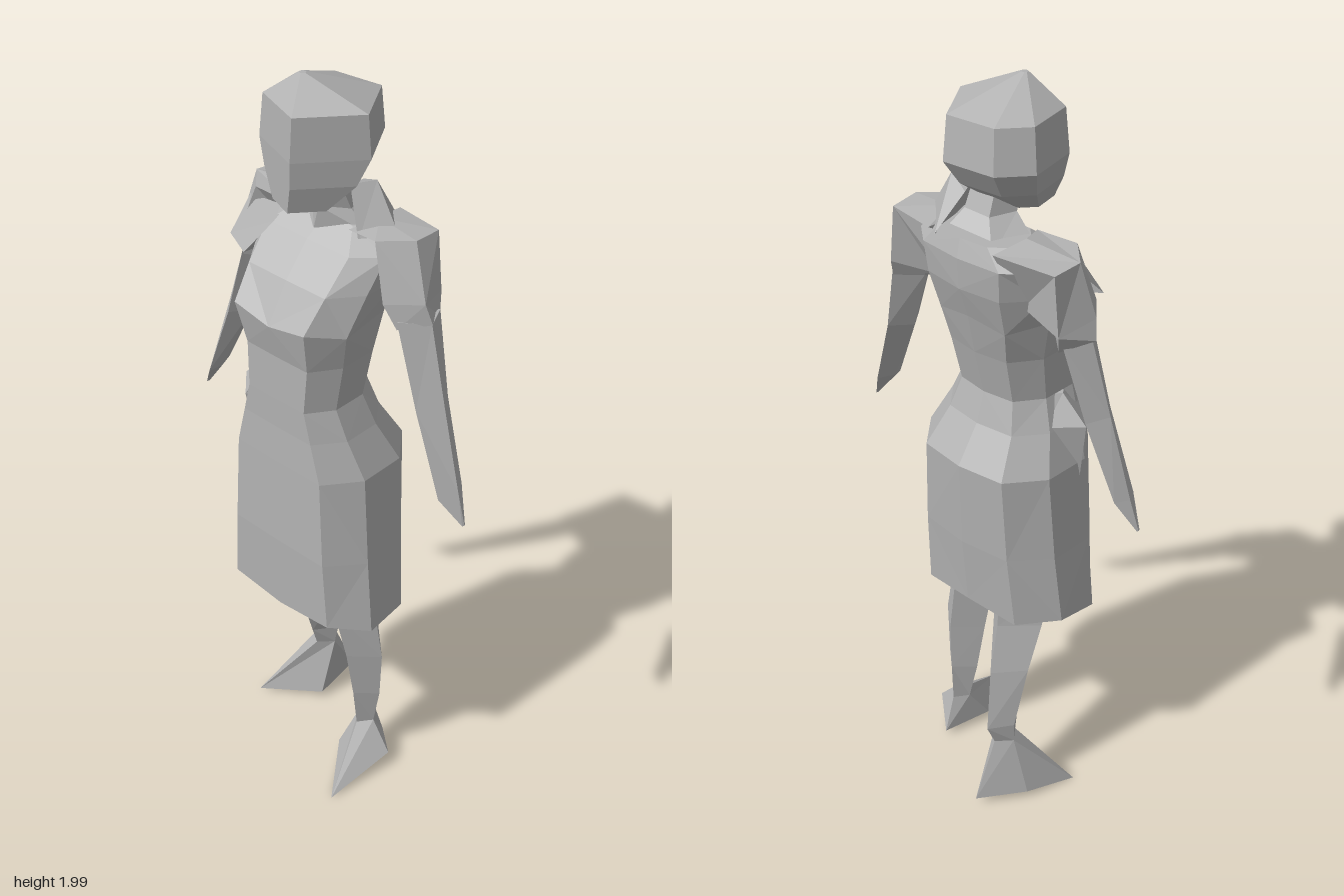
import * as THREE from 'three';

const clothGrey = new THREE.MeshStandardMaterial({ color: 0xb2b2b2, flatShading: true, side: THREE.DoubleSide });
clothGrey.name = 'plain grey';

// Skin a stack of equal-sized point rings, listed top to bottom
function loft(name, rings, capTop = true, capBottom = true) {
  const pos = [];
  const tri = (a, b, c) => pos.push(...a, ...b, ...c);
  const n = rings[0].length;
  for (let i = 0; i < rings.length - 1; i++) {
    for (let j = 0; j < n; j++) {
      const k = (j + 1) % n, a = rings[i][j], b = rings[i][k], c = rings[i + 1][j], d = rings[i + 1][k];
      if ((i + j) % 2) { tri(a, c, d); tri(a, d, b); }
      else { tri(a, c, b); tri(b, c, d); }
    }
  }
  const last = rings[rings.length - 1];
  for (let j = 1; j < n - 1; j++) {
    if (capTop) tri(rings[0][0], rings[0][j], rings[0][j + 1]);
    if (capBottom) tri(last[0], last[j + 1], last[j]);
  }
  const g = new THREE.BufferGeometry();
  g.setAttribute('position', new THREE.Float32BufferAttribute(pos, 3));
  g.computeVertexNormals();
  const mesh = new THREE.Mesh(g, clothGrey);
  mesh.name = name;
  return mesh;
}

// Ten-sided body section: right edge, left edge, front z, back z
const bodyOutline = [[0, 0.97], [0.68, 0.96], [1, 0.42], [0.98, -0.35], [0.62, -0.9],
  [0, -1], [-0.62, -0.9], [-0.98, -0.35], [-1, 0.42], [-0.68, 0.96]];
function bodyRing([y, xr, xl, zf, zb, dip = 0]) {
  const zm = (zf + zb) / 2, cx = (xr + xl) / 2, w = (xl - xr) / 2, d = (zf - zb) / 2;
  return bodyOutline.map(([u, v], i) => [cx + u * w, y + (i % 2 ? dip : 0), zm + v * d]);
}

// Six-sided head section, turned slightly and narrower along one diagonal
const headOutline = [[0.03, 0.135], [0.14, 0], [0.05, -0.14], [-0.085, -0.125], [-0.145, -0.055], [-0.12, 0.08]];
const headRing = ([y, s, cx, cz]) => headOutline.map(([x, z]) => [cx + x * s, y, cz + z * s]);

// Regular section: height, centre, radii and side count
function roundRing(y, cx, cz, rx, rz, n) {
  return Array.from({ length: n }, (_, i) => {
    const a = (i / n) * Math.PI * 2;
    return [cx + Math.sin(a) * rx, y, cz + Math.cos(a) * rz];
  });
}

// Four-sided limb section: front, left, back, right
const diamond = (y, x0, x1, z0, z1) => {
  const cx = (x0 + x1) / 2, cz = (z0 + z1) / 2;
  return [[cx, y, z1], [x1, y, cz], [cx, y, z0], [x0, y, cz]];
};

export function createModel() {
  const model = new THREE.Group();
  model.name = 'standingWoman';

  // Head: faceted, with a flat face and a back that rises from the neck
  model.add(loft('head', [
    [2.0, 0.06, -0.02, 0.07],
    [1.935, 0.95, 0, 0.025],
    [1.83, 1.02, -0.005, 0.02],
    [1.765, 0.85, -0.005, 0.04],
    [1.7, 0.5, -0.01, 0.08],
  ].map(headRing)));

  // Neck, spreading backwards into the shoulders
  model.add(loft('neck', [
    roundRing(1.74, 0.015, 0.02, 0.06, 0.06, 5),
    roundRing(1.69, 0.015, 0, 0.065, 0.06, 5),
    roundRing(1.63, 0, -0.03, 0.14, 0.09, 5),
  ]));
  model.add(loft('neckFold', [
    [[0.075, 1.75, 0.02], [0.11, 1.755, -0.03], [0.05, 1.73, -0.05]],
    [[0.12, 1.63, 0.04], [0.17, 1.655, -0.03], [0.08, 1.64, -0.12]],
  ]));

  // Bodice
  model.add(loft('bodice', [
    [1.655, -0.12, 0.13, 0.03, -0.115],
    [1.61, -0.19, 0.19, 0.085, -0.13],
    [1.53, -0.18, 0.18, 0.155, -0.125],
    [1.43, -0.168, 0.163, 0.212, -0.1, 0.02],
    [1.34, -0.145, 0.145, 0.19, -0.075],
    [1.22, -0.14, 0.13, 0.19, -0.05],
  ].map(bodyRing), true, false));

  // Skirt, open at the hem
  model.add(loft('skirt', [
    [1.22, -0.14, 0.13, 0.19, -0.05],
    [1.14, -0.17, 0.16, 0.19, -0.075],
    [1.04, -0.205, 0.205, 0.195, -0.135],
    [0.8, -0.222, 0.225, 0.2, -0.125],
    [0.59, -0.243, 0.242, 0.195, -0.108, 0.015],
  ].map(bodyRing), false, false));

  // Loose fold at the right hip
  model.add(loft('hipFold', [
    diamond(1.22, -0.15, -0.1, 0.04, 0.11),
    diamond(1.15, -0.222, -0.08, 0.01, 0.15),
    diamond(1.0, -0.207, -0.1, 0.04, 0.12),
  ]));

  // Ragged points of the lining under the hem
  for (const [x, z] of [[-0.18, 0.1], [0, 0.1], [0.19, 0.1], [0.13, -0.05]]) {
    model.add(loft('liningPoint', [
      roundRing(0.63, x, z, 0.04, 0.03, 3),
      roundRing(0.56, x, z, 0.004, 0.004, 3),
    ], false));
  }

  // Gathered flap between the right shoulder and the bust
  model.add(loft('shoulderFlap', [
    [[-0.1, 1.62, 0.09], [-0.12, 1.63, 0.03], [-0.24, 1.62, 0.03]],
    [[-0.15, 1.54, 0.14], [-0.17, 1.52, 0.05], [-0.255, 1.53, 0.085]],
  ]));

  // Arms: sections run front, outer, back, inner, given for the left side
  const mirror = (rings) => rings.map((r) => r.map(([x, y, z]) => [-x, y, z]).reverse());
  for (const side of ['left', 'right']) {
    const e = side === 'left' ? 0 : 0.03;
    const sleeve = [
      [[0.09, 1.65, 0.04], [0.12, 1.665, -0.03], [0.1, 1.65, -0.12], [0.1, 1.6, -0.04]],
      [[0.175 + e, 1.655, 0.045], [0.24 + e, 1.655, -0.02], [0.235 + e, 1.65, -0.1], [0.13, 1.5, -0.05]],
      [[0.22 + e, 1.52, 0.065], [0.29 + e / 2, 1.52, 0], [0.25 + e, 1.5, -0.1], [0.165, 1.47, -0.03]],
      [[0.25, 1.46, 0.05], [0.305 + e / 3, 1.47, -0.01], [0.265, 1.45, -0.08], [0.2, 1.45, -0.02]],
    ];
    const forearm = [
      [[0.25, 1.48, 0.05], [0.303, 1.47, -0.01], [0.27, 1.47, -0.075], [0.205, 1.46, -0.02]],
      [[0.315, 1.27, 0.05], [0.358, 1.28, 0], [0.325, 1.27, -0.05], [0.28, 1.27, 0]],
      [[0.395, 1.06, 0.053], [0.42, 1.07, 0.01], [0.4, 1.07, -0.025], [0.38, 1.07, 0.02]],
      [[0.445, 0.99, 0.02], [0.447, 0.99, 0.014], [0.445, 0.99, 0.01], [0.442, 0.99, 0.014]],
    ];
    const fix = side === 'left' ? (r) => r : mirror;
    model.add(loft(side + 'Sleeve', fix(sleeve)), loft(side + 'Forearm', fix(forearm)));
  }

  // Left leg, stepping forward, with its foot as the last section
  model.add(loft('leftLeg', [
    diamond(0.66, 0.02, 0.18, -0.06, 0.11),
    diamond(0.56, 0.03, 0.178, -0.05, 0.1),
    diamond(0.4, 0.05, 0.19, -0.055, 0.07),
    diamond(0.25, 0.07, 0.175, -0.05, 0.045),
    diamond(0.13, 0.095, 0.15, -0.045, 0.03),
    [[0.19, 0.01, 0.2], [0.215, 0.055, 0], [0.12, 0.025, -0.08], [0.075, 0.04, 0.05]],
  ]));

  // Right leg, trailing, with the foot turned outwards
  model.add(loft('rightLeg', [
    diamond(0.66, -0.18, -0.01, -0.09, 0.08),
    diamond(0.56, -0.18, -0.015, -0.1, 0.06),
    diamond(0.43, -0.175, -0.045, -0.14, 0.01),
    diamond(0.26, -0.168, -0.085, -0.17, -0.05),
    diamond(0.2, -0.165, -0.095, -0.145, -0.07),
    [[-0.255, 0.01, 0.04], [-0.1, 0.03, -0.06], [-0.125, 0.03, -0.215], [-0.21, 0.03, -0.1]],
  ]));

  return model;
}
